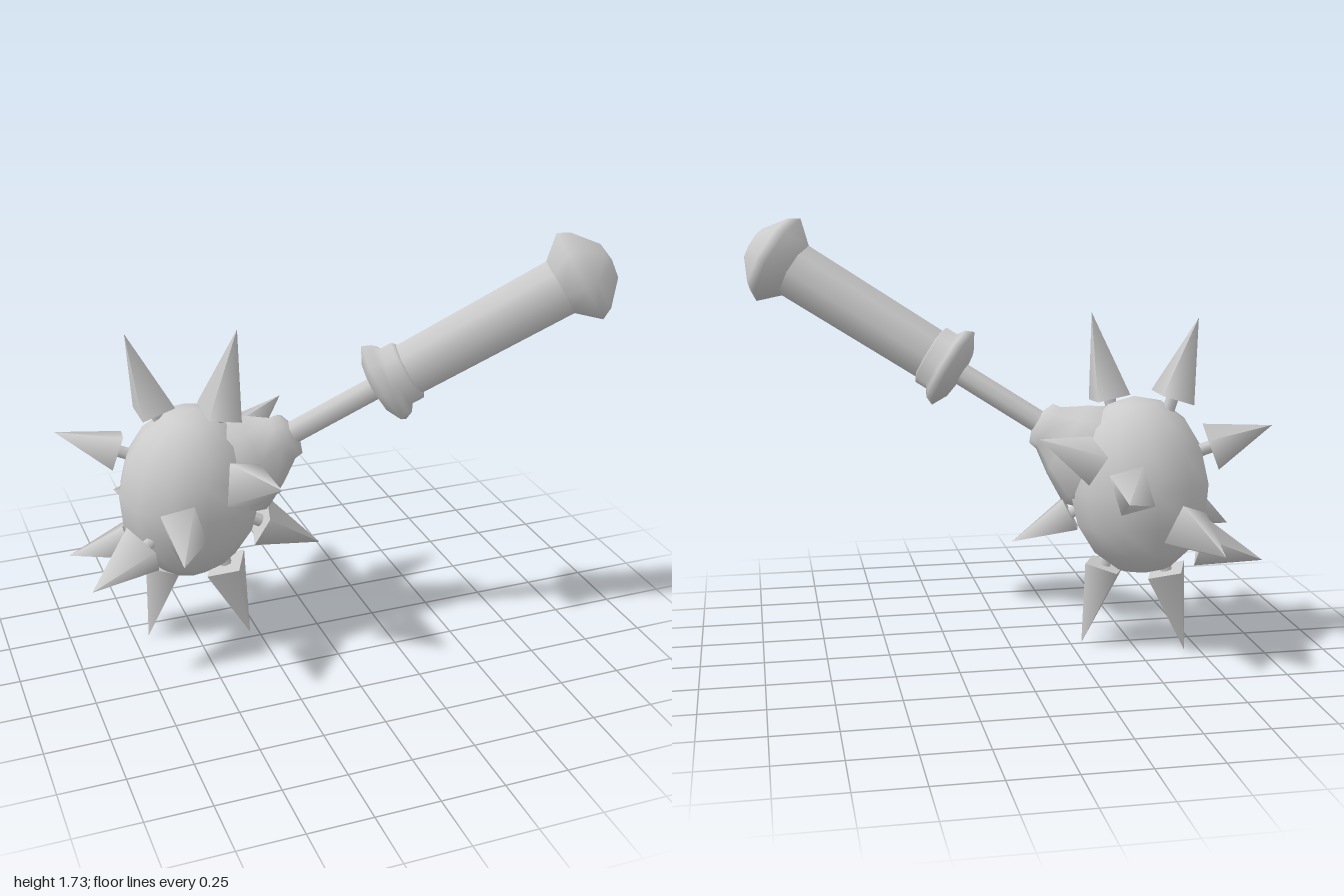
import * as THREE from 'three';

const material = new THREE.MeshStandardMaterial({ color: 0xcccccc, side: THREE.DoubleSide });
const centre = new THREE.Vector3(-0.51, 0.69, -0.075);
const axis = new THREE.Vector3(0.81, 0.51, 0.3).normalize();

function add(parent, name, geometry) {
  const mesh = new THREE.Mesh(geometry, material);
  mesh.name = name;
  parent.add(mesh);
  return mesh;
}

// Eight-sided turned part; profile pairs are [radius, height]
function turned(parent, name, profile, flatten = 0.83) {
  const points = profile.map(([r, h]) => new THREE.Vector2(r, h));
  const mesh = add(parent, name, new THREE.LatheGeometry(points, 8));
  mesh.scale.set(flatten, 1, 1);
  return mesh;
}

// Four-sided spike on a short stem, from base centre to tip
function addSpike(parent, base, tip) {
  const from = new THREE.Vector3(...base);
  const dir = new THREE.Vector3(...tip).sub(from);
  const length = dir.length();
  const spike = new THREE.Group();
  spike.name = 'spike';
  spike.position.copy(from);
  spike.quaternion.setFromUnitVectors(new THREE.Vector3(0, 1, 0), dir.normalize());

  const cone = new THREE.ConeGeometry(0.1, length, 4);
  cone.rotateY(Math.PI / 4);
  cone.scale(0.95, 1, 1.15);
  cone.translate(0, length / 2, 0);
  add(spike, 'spikePoint', cone);

  const stem = new THREE.CylinderGeometry(0.025, 0.025, 0.1, 6);
  stem.translate(0, -0.045, 0);
  add(spike, 'spikeStem', stem);
  parent.add(spike);
}

export function createModel() {
  const model = new THREE.Group();
  model.name = 'mace';

  // Egg-shaped head, leaning slightly
  const head = add(model, 'head', new THREE.SphereGeometry(1, 12, 8));
  head.scale.set(0.285, 0.362, 0.27);
  head.position.copy(centre);
  head.quaternion.setFromUnitVectors(
    new THREE.Vector3(0, 1, 0), new THREE.Vector3(0.06, 1, 0.07).normalize());

  // Handle frame: Y along the shaft, X level, Z upward
  const handle = new THREE.Group();
  handle.name = 'handle';
  const side = new THREE.Vector3(-axis.z, 0, axis.x).normalize();
  const upward = new THREE.Vector3().crossVectors(side, axis);
  handle.quaternion.setFromRotationMatrix(new THREE.Matrix4().makeBasis(side, axis, upward));
  handle.position.set(-0.5, 0.7, -0.08);
  model.add(handle);

  turned(handle, 'socket', [
    [0.2, 0.1], [0.235, 0.21], [0.165, 0.33], [0.1, 0.42], [0.095, 0.455], [0.045, 0.475],
  ], 0.72);
  turned(handle, 'shaft', [[0.047, 0.4], [0.047, 0.86]], 0.9);
  turned(handle, 'guard', [
    [0.045, 0.83], [0.11, 0.84], [0.175, 0.875], [0.16, 0.91], [0.13, 0.93], [0.13, 0.98], [0.11, 0.99],
  ]);
  turned(handle, 'grip', [[0.11, 0.96], [0.118, 1.66]], 0.86);
  turned(handle, 'pommel', [
    [0.115, 1.63], [0.195, 1.715], [0.17, 1.76], [0.075, 1.835], [0, 1.845],
  ]);

  // Spikes as [base, tip]
  const spikes = [
    [[-0.63, 1.05, -0.11], [-0.73, 1.365, -0.11]],   // top
    [[-0.4, 1.04, 0], [-0.33, 1.38, 0.03]],
    [[-0.61, 0.35, -0.14], [-0.69, 0.01, -0.155]],   // bottom
    [[-0.38, 0.355, -0.04], [-0.29, 0.02, -0.02]],
    [[-0.61, 0.67, 0.2], [-0.68, 0.65, 0.455]],      // front
    [[-0.36, 0.8, 0.17], [-0.29, 0.88, 0.42]],
    [[-0.63, 0.57, -0.32], [-0.72, 0.51, -0.55]],    // back
    [[-0.41, 0.73, -0.335], [-0.33, 0.74, -0.59]],
    [[-0.27, 0.83, -0.22], [-0.05, 0.94, -0.31]],    // handle side
    [[-0.25, 0.56, 0.03], [-0.015, 0.44, 0.07]],
    [[-0.77, 0.86, -0.18], [-1, 0.95, -0.24]],       // far side
    [[-0.74, 0.47, -0.17], [-0.98, 0.4, -0.24]],
    [[-0.745, 0.55, 0.08], [-0.97, 0.45, 0.17]],
  ];
  for (const [base, tip] of spikes) addSpike(model, base, tip);

  return model;
}
